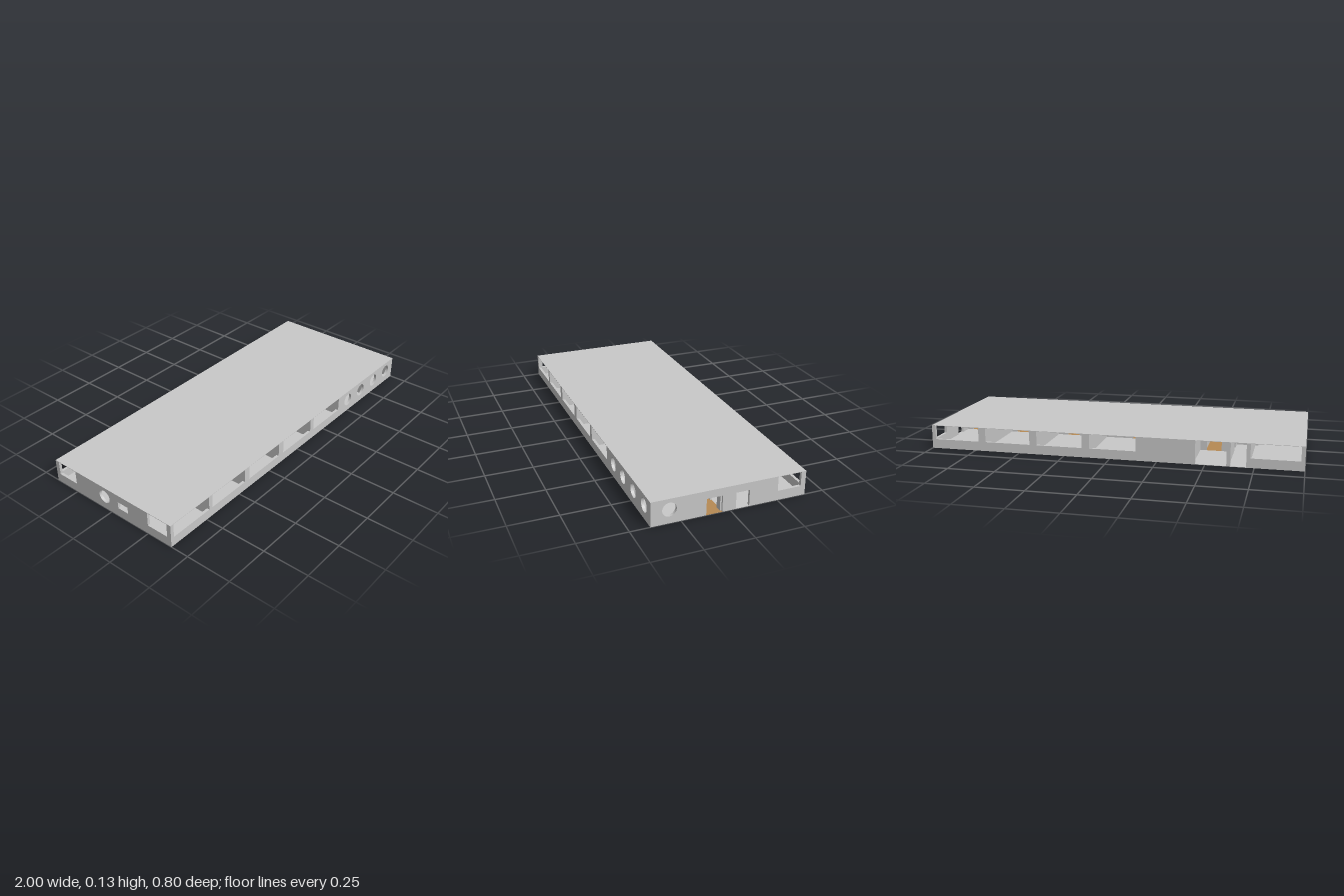
import * as THREE from 'three';

const TOP = 0.1275, ROOF = 0.128, SLAB = 0.002, DOOR = 0.087, SILL = 0.05;
const OUTER = 0.015, INNER = 0.008;

// Openings in wall coordinates: along the wall, then height
const windowAt = (a, b) => ({ a, b, lo: SILL, hi: 0.1265 });
const doorAt = (a, b) => ({ a, b, lo: 0.001, hi: DOOR });
const tallAt = (a, b) => ({ a, b, lo: 0.001, hi: 0.1265 });
const porthole = (c) => ({ c });

function polygon(points) {
  return new THREE.Shape(points.map(([x, y]) => new THREE.Vector2(x, y)));
}

function wallGeometry(a, b, thickness, openings) {
  const shape = polygon([[a, 0], [b, 0], [b, TOP], [a, TOP]]);
  for (const o of openings) {
    const hole = new THREE.Path();
    if (o.c !== undefined) {
      hole.absarc(o.c, 0.072, 0.036, 0, Math.PI * 2, true);
    } else {
      hole.moveTo(o.a, o.lo).lineTo(o.a, o.hi).lineTo(o.b, o.hi).lineTo(o.b, o.lo).closePath();
    }
    shape.holes.push(hole);
  }
  return new THREE.ExtrudeGeometry(shape, { depth: thickness, bevelEnabled: false, curveSegments: 16 });
}

export function createModel() {
  const model = new THREE.Group();
  model.name = 'singleStoreyBuilding';
  const grey = new THREE.MeshStandardMaterial({ color: 0xc8c8c8 });
  grey.name = 'wall grey';
  const brown = new THREE.MeshStandardMaterial({ color: 0xb68a54 });
  brown.name = 'corridor brown';

  const add = (name, geometry, material = grey) => {
    const mesh = new THREE.Mesh(geometry, material);
    mesh.name = name;
    model.add(mesh);
    return mesh;
  };
  // Wall running along x, its back face at z
  const wallX = (name, z, a, b, thickness, openings = []) => {
    add(name, wallGeometry(a, b, thickness, openings).translate(0, 0, z));
  };
  // Wall running along z, its low-x face at x (openings given in z)
  const wallZ = (name, x, a, b, thickness, openings = []) => {
    const flipped = openings.map((o) => (o.c !== undefined ? { c: -o.c } : { ...o, a: -o.b, b: -o.a }));
    add(name, wallGeometry(-b, -a, thickness, flipped).rotateY(Math.PI / 2).translate(x, 0, 0));
  };
  // Flat slab from an outline in x and z
  const slab = (name, outline, material) => {
    const geometry = new THREE.ExtrudeGeometry(polygon(outline.map(([x, z]) => [x, -z])), { depth: SLAB, bevelEnabled: false });
    add(name, geometry.rotateX(-Math.PI / 2), material);
  };

  // Floor, with the corridor let into it
  const corridor = [[1, 0.04], [1, 0.125], [-0.74, 0.125], [-0.74, 0.04],
    [-0.565, 0.04], [-0.565, -0.12], [-0.47, -0.12], [-0.47, 0.04]];
  slab('corridorFloor', corridor, brown);
  slab('roomFloor', [[1, 0.4], [-1, 0.4], [-1, -0.4], [1, -0.4], [1, 0.04],
    ...corridor.slice(2).reverse(), [1, 0.125]], grey);

  // Roof
  add('roof', new THREE.BoxGeometry(2, SLAB, 0.8).translate(0, ROOF - SLAB / 2, 0));

  // Outer walls
  wallX('frontWall', 0.4 - OUTER, -1, 1, OUTER, [
    ...[-0.98, -0.705, -0.42, -0.13, 0.15].map((x) => windowAt(x, x + 0.25)),
    ...[0.5, 0.637, 0.78, 0.92].map(porthole),
  ]);
  wallX('backWall', -0.4, -1, 1, OUTER, [
    ...[-0.98, -0.14, 0.15, 0.44, 0.73].map((x) => windowAt(x, x + 0.25)),
    tallAt(-0.71, -0.63), tallAt(-0.61, -0.45),
  ]);
  wallZ('leftEndWall', 1 - OUTER, -0.4, 0.4, OUTER, [
    porthole(0.307), doorAt(0.04, 0.125), doorAt(-0.1, -0.03), windowAt(-0.375, -0.25),
  ]);
  wallZ('rightEndWall', -1, -0.4, 0.4, OUTER, [
    windowAt(0.25, 0.375), windowAt(-0.375, -0.25), porthole(-0.044),
    { a: 0.05, b: 0.117, lo: SILL, hi: DOOR },
  ]);

  // Corridor walls with room doors
  const doors = [-0.1, 0.29, 0.605, 0.885].map((x) => doorAt(x, x + 0.07));
  wallX('corridorFrontWall', 0.117, -0.74, 0.99, INNER,
    [...doors, doorAt(-0.675, -0.605), doorAt(-0.305, -0.235)]);
  wallX('corridorBackWall', 0.04, -0.74, 0.99, INNER,
    [...doors, tallAt(-0.557, -0.47), doorAt(-0.225, -0.165)]);
  wallZ('corridorEndWall', -0.74, 0.04, 0.125, INNER, [doorAt(0.05, 0.083)]);

  // Partitions between the front rooms
  for (const x of [-0.722, -0.44, -0.154, 0.131, 0.421, 0.705]) {
    wallZ('frontPartition', x, 0.12, 0.39, INNER);
  }
  wallZ('closetPartition', -0.58, 0.12, 0.25, INNER);

  // Partitions between the back rooms
  for (const x of [-0.724, -0.44, -0.15, 0.126, 0.416, 0.706]) {
    wallZ('backPartition', x, -0.39, 0.045, INNER);
  }

  // Entrance hall beside the back doors
  wallZ('hallPartition', -0.622, -0.39, 0.045, INNER, [doorAt(-0.1, -0.03)]);
  wallZ('hallSideWall', -0.565, -0.12, 0.045, INNER);
  wallZ('hallSideWall', -0.47, -0.12, 0.045, INNER);
  wallX('hallDoorWall', -0.12, -0.62, -0.44, INNER, [doorAt(-0.555, -0.475)]);

  return model;
}
